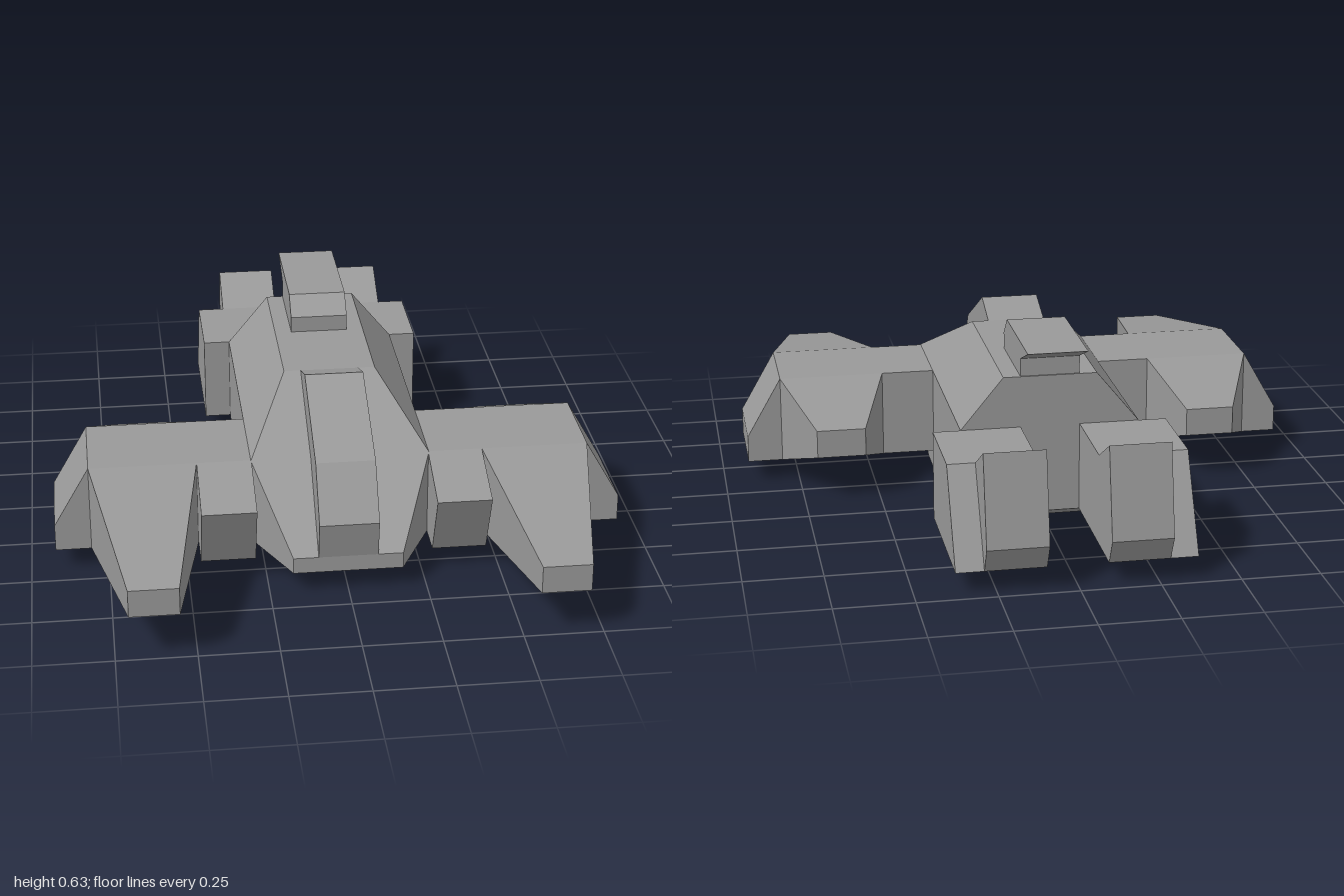
import * as THREE from 'three';
import { ConvexGeometry } from 'three/addons/geometries/ConvexGeometry.js';

const material = new THREE.MeshStandardMaterial({ color: 0x999999, flatShading: true });

function part(name, geometry) {
  const mesh = new THREE.Mesh(geometry, material);
  mesh.name = name;
  return mesh;
}

// Side profile of [z, y] points, extruded across x0..x1
function profile(name, points, x0, x1) {
  const shape = new THREE.Shape(points.map(([z, y]) => new THREE.Vector2(z, y)));
  const geometry = new THREE.ExtrudeGeometry(shape, { depth: x1 - x0, bevelEnabled: false });
  geometry.rotateY(-Math.PI / 2).translate(x1, 0, 0);
  return part(name, geometry);
}

// Faceted solid around a set of [x, y, z] corners
function solid(name, corners) {
  return part(name, new ConvexGeometry(corners.map((c) => new THREE.Vector3(...c))));
}

// Four corners of an upright rectangle at depth z
const rect = (x0, x1, y0, y1, z) => [[x0, y0, z], [x1, y0, z], [x1, y1, z], [x0, y1, z]];

// The same [x, y, z] corners on both sides
const both = (corners) => corners.flatMap(([x, y, z]) => [[x, y, z], [-x, y, z]]);

export function createModel() {
  const model = new THREE.Group();
  model.name = 'spacecraft';

  // Fuselage with sloped roof sides and a wedge nose
  model.add(solid('fuselage', both([
    [0.287, 0.067, -0.5], [0.287, 0.355, -0.5], [0.15, 0.522, -0.5],
    [0.15, 0.522, 0.12], [0.287, 0.355, 0.425], [0.287, 0.067, 0.425],
    [0.175, 0.12, 0.655], [0.175, 0.067, 0.655],
  ])));

  // Belly keel
  model.add(profile('belly', [[0.425, 0.067], [-0.5, 0.067], [-0.36, 0], [0.25, 0]], -0.287, 0.287));

  // Raised cockpit strip running down the nose
  model.add(profile('cockpit',
    [[0.12, 0.522], [0.12, 0.3], [0.5, 0.1], [0.655, 0.12], [0.68, 0.245], [0.57, 0.41], [0.25, 0.567]], -0.095, 0.095));

  // Dorsal block with overhanging tail
  model.add(profile('dorsalBlock',
    [[-0.19, 0.5], [-0.19, 0.575], [-0.25, 0.635], [-0.628, 0.635], [-0.495, 0.58], [-0.495, 0.5]], -0.095, 0.095));

  for (const s of [1, -1]) {
    const side = new THREE.Group();
    side.name = s > 0 ? 'leftSide' : 'rightSide';
    const span = (a, b) => (s > 0 ? [a, b] : [-b, -a]);

    // Wing root and the intake block ahead of it
    side.add(profile('wingRoot', [[0.42, 0.067], [0.42, 0.355], [0.12, 0.355], [0.12, 0.067]], ...span(0.28, 0.46)));
    side.add(profile('intake', [[0.42, 0.067], [0.545, 0.067], [0.633, 0.28], [0.42, 0.355]], ...span(0.285, 0.46)));

    // Wing pod, long taper forward and short taper aft
    side.add(solid('wingPod', [
      ...rect(...span(0.55, 0.705), 0.15, 0.24, 1),
      ...rect(...span(0.46, 0.805), 0.067, 0.355, 0.42),
      ...rect(...span(0.46, 0.805), 0.067, 0.355, 0.12),
      ...rect(...span(0.545, 0.705), 0.15, 0.243, -0.113),
    ]));

    // Sloped wing tip
    side.add(solid('wingTip', [0.12, 0.42].flatMap((z) =>
      [[0.8, 0.067], [0.92, 0.067], [0.92, 0.155], [0.805, 0.355]].map(([x, y]) => [s * x, y, z]))));

    // Engine housing and flared exhaust
    side.add(profile('engine', [[-0.5, 0.067], [-0.5, 0.355], [-0.795, 0.355], [-0.957, 0.067]], ...span(0.095, 0.375)));
    side.add(profile('exhaust', [[-0.795, 0.355], [-0.942, 0.438], [-1, 0.15], [-0.957, 0.067]], ...span(0.095, 0.287)));
    model.add(side);
  }
  return model;
}
